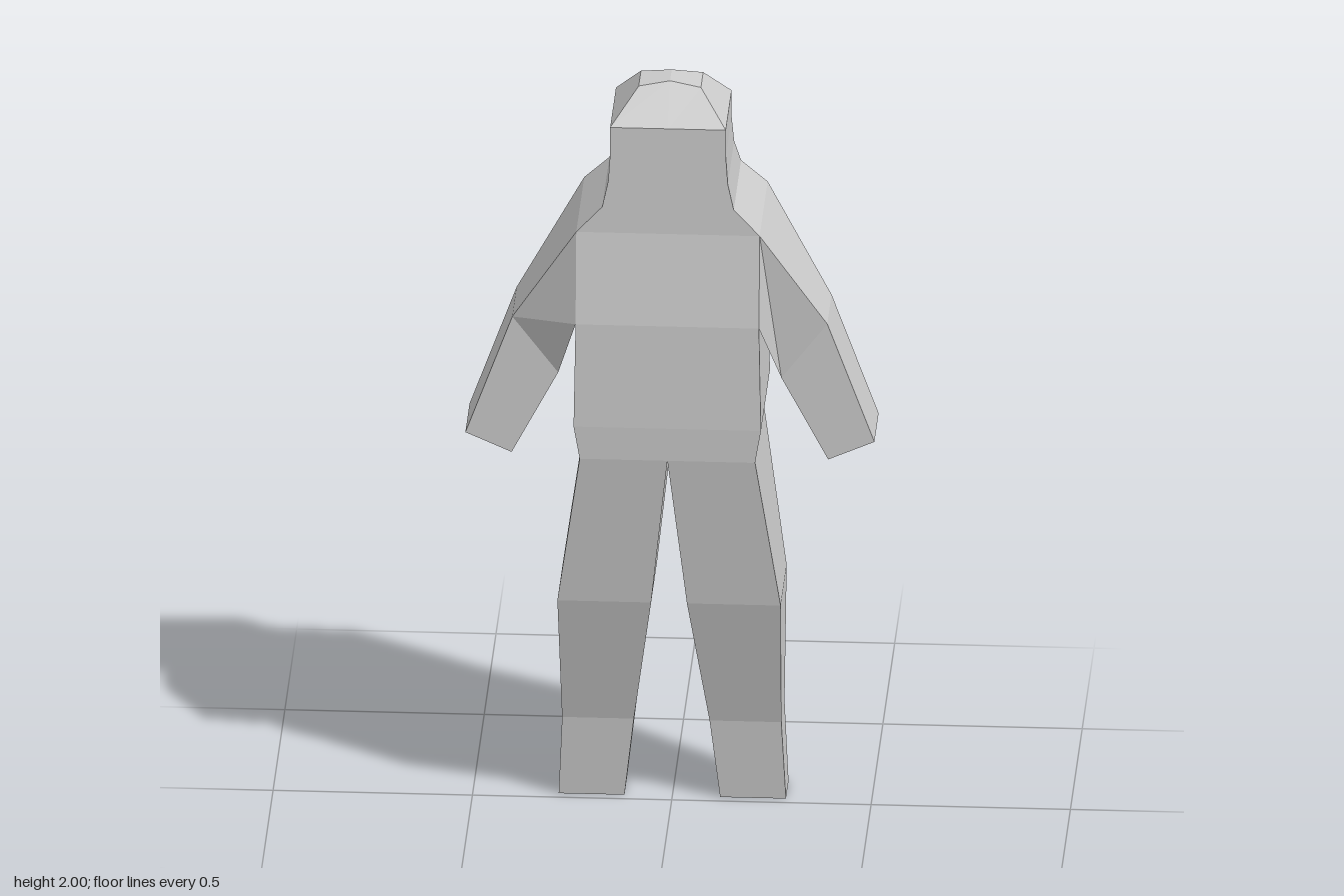
import * as THREE from 'three';

const suit = new THREE.MeshStandardMaterial({ color: 0xcccccc, flatShading: true });
suit.name = 'light grey';

// Skin a list of equal-length rings (counter-clockwise seen from the last ring's end)
function loft(name, rings, { capStart = false, capEnd = false, mirror = false } = {}) {
  if (mirror) rings = rings.map(r => r.map(([x, y, z]) => [-x, y, z]).reverse());
  const pos = [], n = rings[0].length;
  const tri = (a, b, c) => pos.push(...a, ...b, ...c);
  for (let k = 0; k + 1 < rings.length; k++) {
    const a = rings[k], b = rings[k + 1];
    for (let i = 0; i < n; i++) {
      const j = (i + 1) % n;
      tri(a[i], a[j], b[j]);
      tri(a[i], b[j], b[i]);
    }
  }
  const cap = r => {
    for (let i = 1; i < n - 1; i++) tri(r[1], r[(1 + i) % n], r[(2 + i) % n]);
  };
  if (capEnd) cap(rings[rings.length - 1]);
  if (capStart) {
    const r = rings[0];
    for (let i = 1; i < n - 1; i++) tri(r[1], r[(2 + i) % n], r[(1 + i) % n]);
  }
  const geo = new THREE.BufferGeometry();
  geo.setAttribute('position', new THREE.Float32BufferAttribute(pos, 3));
  geo.computeVertexNormals();
  const mesh = new THREE.Mesh(geo, suit);
  mesh.name = name;
  return mesh;
}

// Six-point body ring; the centre column may be raised and pulled in z
const bodyRing = ([y, w, zf, zb, rise = 0, df = 0, db = 0]) => [
  [-w, y, zf], [0, y + rise, zf + df], [w, y, zf],
  [w, y, zb], [0, y + rise, zb + db], [-w, y, zb],
];
const legRing = ([y, x0, x1, zf, zb]) => [[x0, y, zf], [x1, y, zf], [x1, y, zb], [x0, y, zb]];

// Arm ring: top and bottom edge, each with its own front and back depth
const armRing = ([xt, yt, ft, bt, xb, yb, fb, bb]) => [
  [xb, yb, fb], [xb, yb, bb], [xt, yt, bt], [xt, yt, ft],
];

export function createModel() {
  const model = new THREE.Group();
  model.name = 'hoodedFigure';

  // Torso from hips to shoulders: y, half width, front z, back z
  model.add(loft('torso', [
    [1.01, 0.22, 0.185, -0.185],
    [1.1, 0.235, 0.19, -0.19],
    [1.38, 0.23, 0.19, -0.19],
    [1.62, 0.23, 0.16, -0.18],
  ].map(bodyRing)));

  // Neck and hood, ending in a slightly peaked crown
  model.add(loft('hood', [
    [1.62, 0.23, 0.16, -0.18],
    [1.69, 0.165, 0.16, -0.15],
    [1.76, 0.15, 0.16, -0.11],
    [1.835, 0.145, 0.16, -0.09],
    [1.908, 0.145, 0.16, -0.088],
    [1.988, 0.078, 0.08, -0.015, 0.012, -0.01, 0.015],
  ].map(bodyRing), { capEnd: true }));

  const legs = [
    [0, 0.12, 0.285, -0.025, -0.135],
    [0.22, 0.095, 0.275, 0, -0.135],
    [0.59, 0.045, 0.28, 0.115, -0.14],
    [1.01, 0, 0.22, 0.185, -0.185],
  ].map(legRing);
  const arms = [
    [0.23, 1.62, 0.16, -0.18, 0.23, 1.38, 0.19, -0.19],
    [0.395, 1.35, 0.083, -0.1, 0.28, 1.2, 0.083, -0.1],
    [0.513, 1.028, 0.078, -0.1, 0.397, 0.977, 0.078, -0.1],
  ].map(armRing);

  for (const mirror of [false, true]) {
    const side = mirror ? 'right' : 'left';
    model.add(loft(side + 'Leg', legs, { capStart: true, mirror }));
    model.add(loft(side + 'Arm', arms, { capEnd: true, mirror }));
  }
  return model;
}
